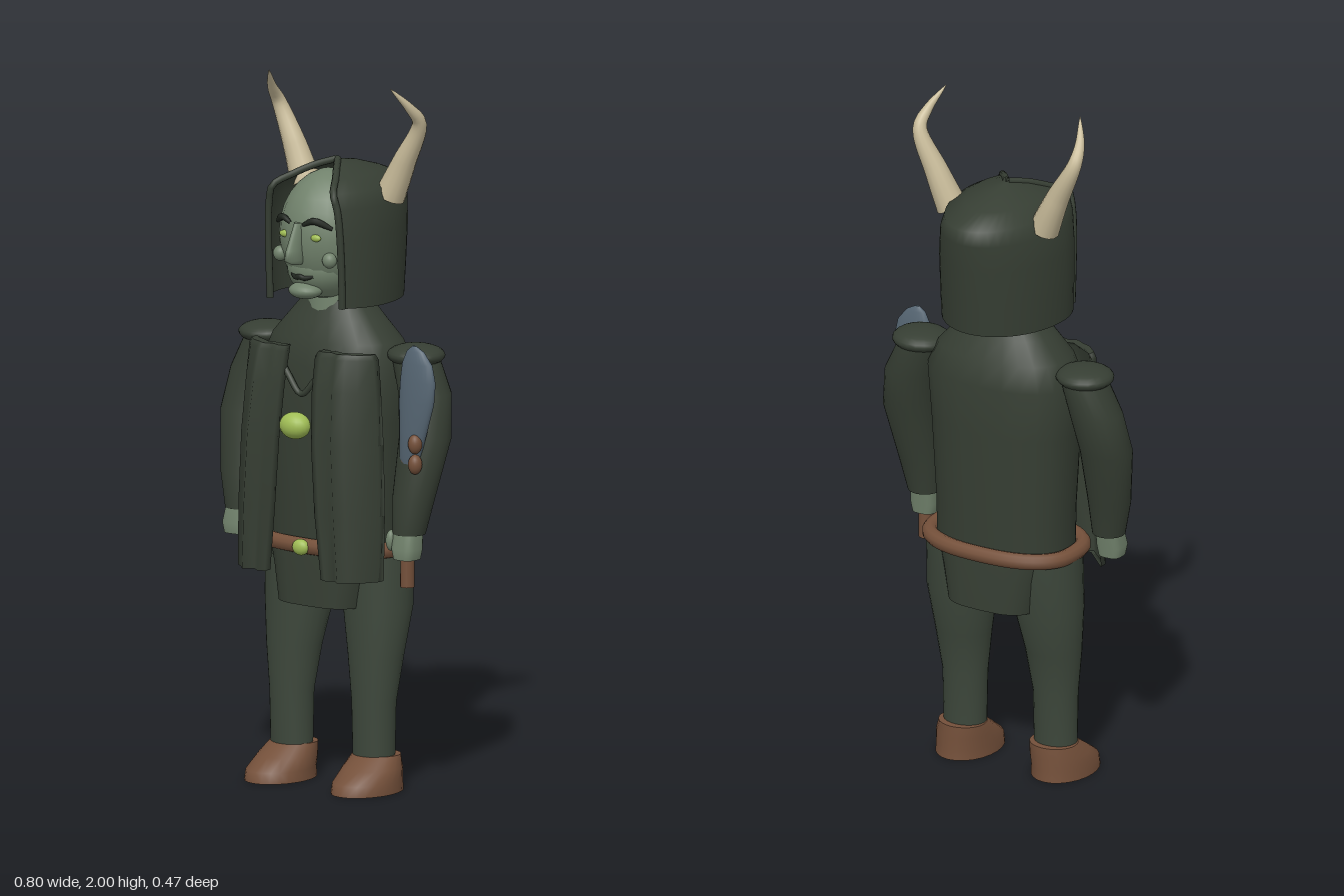
import * as THREE from 'three';

const mat = (name, color, side = THREE.FrontSide) => {
  const m = new THREE.MeshStandardMaterial({ color, side });
  m.name = name;
  return m;
};
const V = (x, y, z) => new THREE.Vector3(x, y, z);

// Surface through rows of points, ordered bottom to top and counted from +x towards +z
function grid(rows, closed, caps) {
  const n = rows[0].length, pos = [], idx = [];
  rows.forEach(r => r.forEach(p => pos.push(p.x, p.y, p.z)));
  for (let i = 0; i < rows.length - 1; i++) {
    for (let j = 0; j < (closed ? n : n - 1); j++) {
      const a = i * n + j, b = i * n + (j + 1) % n, c = a + n, d = b + n;
      idx.push(a, c, b, b, c, d);
    }
  }
  if (caps) {
    [rows[0], rows[rows.length - 1]].forEach((r, top) => {
      const base = pos.length / 3, mid = V(0, 0, 0);
      r.forEach(p => { pos.push(p.x, p.y, p.z); mid.addScaledVector(p, 1 / n); });
      pos.push(mid.x, mid.y, mid.z);
      for (let j = 0; j < n; j++) {
        const a = base + j, b = base + (j + 1) % n;
        if (top) idx.push(base + n, b, a); else idx.push(base + n, a, b);
      }
    });
  }
  const g = new THREE.BufferGeometry();
  g.setAttribute('position', new THREE.Float32BufferAttribute(pos, 3));
  g.setIndex(idx);
  g.computeVertexNormals();
  return g;
}

// Horizontal superellipse ring
function ring(x, y, z, rx, rz, power = 2, sides = 24) {
  return Array.from({ length: sides }, (_, i) => {
    const a = i / sides * Math.PI * 2, c = Math.cos(a), s = Math.sin(a), e = 2 / power;
    return V(x + rx * Math.sign(c) * Math.abs(c) ** e, y, z + rz * Math.sign(s) * Math.abs(s) ** e);
  });
}
// Sections are [x, y, z, rx, rz]
const loft = (sections, power) => grid(sections.map(s => ring(...s, power)), true, true);

function ball(x, y, z, rx, ry, rz) {
  return new THREE.SphereGeometry(1, 20, 14).scale(rx, ry, rz).translate(x, y, z);
}

// Tube along points whose radius is given by a function of 0..1
function tube(points, radius, segs = 20, sides = 10, closed = false) {
  const curve = new THREE.CatmullRomCurve3(points.map(p => V(...p)), closed);
  const g = new THREE.TubeGeometry(curve, segs, 1, sides, closed);
  const p = g.attributes.position, v = V(0, 0, 0);
  for (let i = 0; i <= segs; i++) {
    const c = curve.getPointAt(i / segs);
    for (let j = 0; j <= sides; j++) {
      const k = i * (sides + 1) + j;
      v.fromBufferAttribute(p, k).sub(c).multiplyScalar(radius(i / segs)).add(c);
      p.setXYZ(k, v.x, v.y, v.z);
    }
  }
  return g;
}

// Mirrored copy across x = 0 with corrected winding
function mirror(geo) {
  const g = geo.clone(), p = g.attributes.position, n = g.attributes.normal, ix = g.index;
  for (let i = 0; i < p.count; i++) { p.setX(i, -p.getX(i)); n.setX(i, -n.getX(i)); }
  for (let i = 0; i < ix.count; i += 3) {
    const t = ix.getX(i);
    ix.setX(i, ix.getX(i + 1));
    ix.setX(i + 1, t);
  }
  return g;
}

export function createModel() {
  const cloth = mat('dark cloth', 0x363e33, THREE.DoubleSide);
  const hose = mat('hose cloth', 0x3d473b);
  const skin = mat('sage skin', 0x71826c);
  const leather = mat('leather', 0x74503a);
  const bone = mat('horn bone', 0xcabd9b);
  const steel = mat('blue steel', 0x566673);
  const lime = mat('lime metal', 0xa0bd55);
  const dark = mat('dark line', 0x20261f);

  const model = new THREE.Group();
  const body = new THREE.Group();
  body.name = 'body';
  body.position.x = -0.008;
  model.add(body);
  const add = (name, geo, m, parent = body) => {
    const mesh = new THREE.Mesh(geo, m);
    mesh.name = name;
    parent.add(mesh);
  };
  const pair = (name, geo, m) => {
    add(name + 'Left', geo, m);
    add(name + 'Right', mirror(geo), m);
  };

  // Boots and legs
  pair('boot', loft([[0.155, 0, 0.062, 0.088, 0.12], [0.155, 0.03, 0.06, 0.087, 0.115],
    [0.152, 0.065, 0.035, 0.082, 0.09], [0.148, 0.1, 0.01, 0.07, 0.063]]), leather);
  pair('leg', loft([[0.147, 0.08, 0.022, 0.063, 0.053], [0.147, 0.25, 0.022, 0.066, 0.058],
    [0.146, 0.38, 0.012, 0.083, 0.072], [0.14, 0.52, -0.005, 0.103, 0.092], [0.135, 0.7, -0.01, 0.105, 0.1]]), hose);

  // Tunic
  add('torso', loft([[0, 0.64, 0, 0.205, 0.135], [0, 0.8, 0, 0.205, 0.142], [0, 1.05, 0, 0.22, 0.15],
    [0, 1.2, -0.005, 0.232, 0.148], [0, 1.27, -0.002, 0.2, 0.13], [0, 1.33, 0, 0.145, 0.1],
    [0, 1.38, 0, 0.1, 0.075], [0, 1.4, 0, 0.08, 0.065]], 2.3), cloth);
  add('tunicSkirt', loft([[0, 0.52, 0, 0.145, 0.146], [0, 0.62, 0, 0.165, 0.144], [0, 0.7, 0, 0.19, 0.138]], 3.2), cloth);
  add('neckline', tube([[-0.1, 1.23, 0.145], [-0.05, 1.175, 0.158], [0, 1.125, 0.162],
    [0.05, 1.175, 0.158], [0.1, 1.23, 0.145]], () => 0.009, 24, 8), cloth);

  // Belt and ornaments
  const beltPath = ring(0, 0.69, 0, 0.222, 0.144, 2.5, 24).map(p => [p.x, p.y, p.z]);
  add('belt', tube(beltPath, () => 0.023, 60, 10, true), leather);
  add('buckle', ball(0, 0.69, 0.165, 0.027, 0.023, 0.018), lime);
  add('brooch', ball(0, 1.04, 0.19, 0.048, 0.038, 0.037), lime);

  // Folded coat fronts
  const folds = [[1, 0], [0.82, 0.055], [0.62, 0.08], [0.48, 0.105], [0.3, 0.08], [0.14, 0.098], [0, 0.088]];
  const coatRow = ([y, inner, outer, z, depth]) => {
    const front = folds.map(([u, d]) => V(inner + (outer - inner) * u, y, z + d * depth));
    const back = front.map(p => V(p.x, y, p.z - 0.024)).reverse();
    return [...front, ...back];
  };
  pair('coatFront', grid([[0.615, 0.1, 0.246, 0.125, 0.85], [0.8, 0.08, 0.247, 0.12, 0.95],
    [1.0, 0.066, 0.24, 0.118, 0.95], [1.15, 0.058, 0.23, 0.117, 0.8],
    [1.24, 0.055, 0.222, 0.117, 0.6], [1.255, 0.06, 0.212, 0.12, 0.45]].map(coatRow), true, true), cloth);

  // Arms, shoulder pads and hands
  pair('arm', loft([[0.3, 0.75, 0.055, 0.047, 0.046], [0.308, 0.85, 0.045, 0.062, 0.056],
    [0.32, 1.02, 0.008, 0.076, 0.07], [0.3, 1.14, -0.015, 0.076, 0.073],
    [0.262, 1.24, -0.02, 0.065, 0.068]]), cloth);
  pair('shoulderPad', ball(0.266, 1.243, -0.018, 0.083, 0.032, 0.08), cloth);
  pair('hand', loft([[0.303, 0.68, 0.068, 0.034, 0.034], [0.303, 0.71, 0.068, 0.04, 0.038],
    [0.3, 0.765, 0.058, 0.036, 0.036]], 3), skin);
  pair('thumb', ball(0.26, 0.73, 0.085, 0.015, 0.03, 0.017), skin);

  // Axe in the left hand
  const axe = new THREE.Group();
  axe.name = 'axe';
  model.add(axe);
  add('handle', new THREE.CylinderGeometry(0.018, 0.02, 0.5, 12).translate(0.295, 0.85, 0.067), leather, axe);
  add('blade', loft([[0.302, 0.93, 0.073, 0.01, 0.008], [0.31, 0.97, 0.073, 0.035, 0.018],
    [0.322, 1.05, 0.073, 0.047, 0.023], [0.333, 1.13, 0.073, 0.06, 0.024], [0.338, 1.19, 0.073, 0.061, 0.022],
    [0.336, 1.24, 0.073, 0.052, 0.018], [0.33, 1.275, 0.073, 0.03, 0.012], [0.325, 1.29, 0.073, 0.006, 0.004]]), steel, axe);
  [1.015, 0.957].forEach((y, i) =>
    add('binding' + (i + 1), ball(0.34, y, 0.088, 0.02, 0.028, 0.02), leather, axe));

  // Head and face
  add('neck', new THREE.CylinderGeometry(0.07, 0.08, 0.16, 20).translate(0, 1.42, 0.01), skin);
  add('head', ball(0, 1.565, 0.03, 0.142, 0.183, 0.152), skin);
  add('jaw', ball(0, 1.475, 0.058, 0.105, 0.09, 0.11), skin);
  add('chin', ball(0, 1.418, 0.143, 0.05, 0.024, 0.045), skin);
  add('nose', loft([[0, 1.498, 0.18, 0.012, 0.02], [0, 1.512, 0.195, 0.019, 0.037],
    [0, 1.54, 0.19, 0.016, 0.036], [0, 1.615, 0.165, 0.011, 0.026]]), skin);
  add('mouth', tube([[-0.038, 1.462, 0.156], [-0.015, 1.457, 0.168], [0, 1.46, 0.17],
    [0.015, 1.457, 0.168], [0.038, 1.462, 0.156]], t => 0.004 + 0.004 * Math.sin(Math.PI * t), 16, 8), dark);
  pair('eye', ball(0.055, 1.576, 0.167, 0.018, 0.01, 0.009), lime);
  pair('brow', tube([[0.022, 1.612, 0.182], [0.055, 1.625, 0.175], [0.098, 1.603, 0.145]],
    t => 0.005 + 0.005 * Math.sin(Math.PI * t), 12, 8), dark);
  pair('cheekWart', ball(0.088, 1.513, 0.146, 0.021, 0.022, 0.02), skin);

  // Hood, open at the front and rising to a ridge point: [y, rx, back, front, scale]
  const open = 0.76, steps = 32;
  const hoodRow = ([y, rx, back, front, s]) => Array.from({ length: steps + 1 }, (_, i) => {
    const a = Math.PI - open + i / steps * (Math.PI + 2 * open), sn = Math.sin(a);
    return V(rx * s * Math.cos(a), y, (0.02 + sn * (sn > 0 ? front : back)) * s);
  });
  const hoodRows = [[1.38, 0.178, 0.225, 0.175, 1], [1.47, 0.179, 0.235, 0.18, 1], [1.58, 0.177, 0.248, 0.188, 1],
    [1.66, 0.168, 0.256, 0.194, 1], [1.705, 0.15, 0.256, 0.196, 1], [1.735, 0.15, 0.25, 0.19, 0.68],
    [1.757, 0.15, 0.25, 0.19, 0.35], [1.77, 0.15, 0.25, 0.19, 0.02]].map(hoodRow);
  add('hood', grid(hoodRows, false, false), cloth);
  const edge = hoodRows.map(r => [r[steps].x, r[steps].y, r[steps].z]);
  pair('hoodRim', tube(edge, () => 0.01, 28, 8), cloth);

  // Horns
  pair('horn', tube([[0.15, 1.675, -0.045], [0.195, 1.775, -0.052], [0.252, 1.895, -0.05],
    [0.247, 1.94, -0.015], [0.218, 2.0, 0.036]], t => 0.043 * (1 - t) ** 0.8 + 0.001, 24, 14), bone);

  return model;
}
